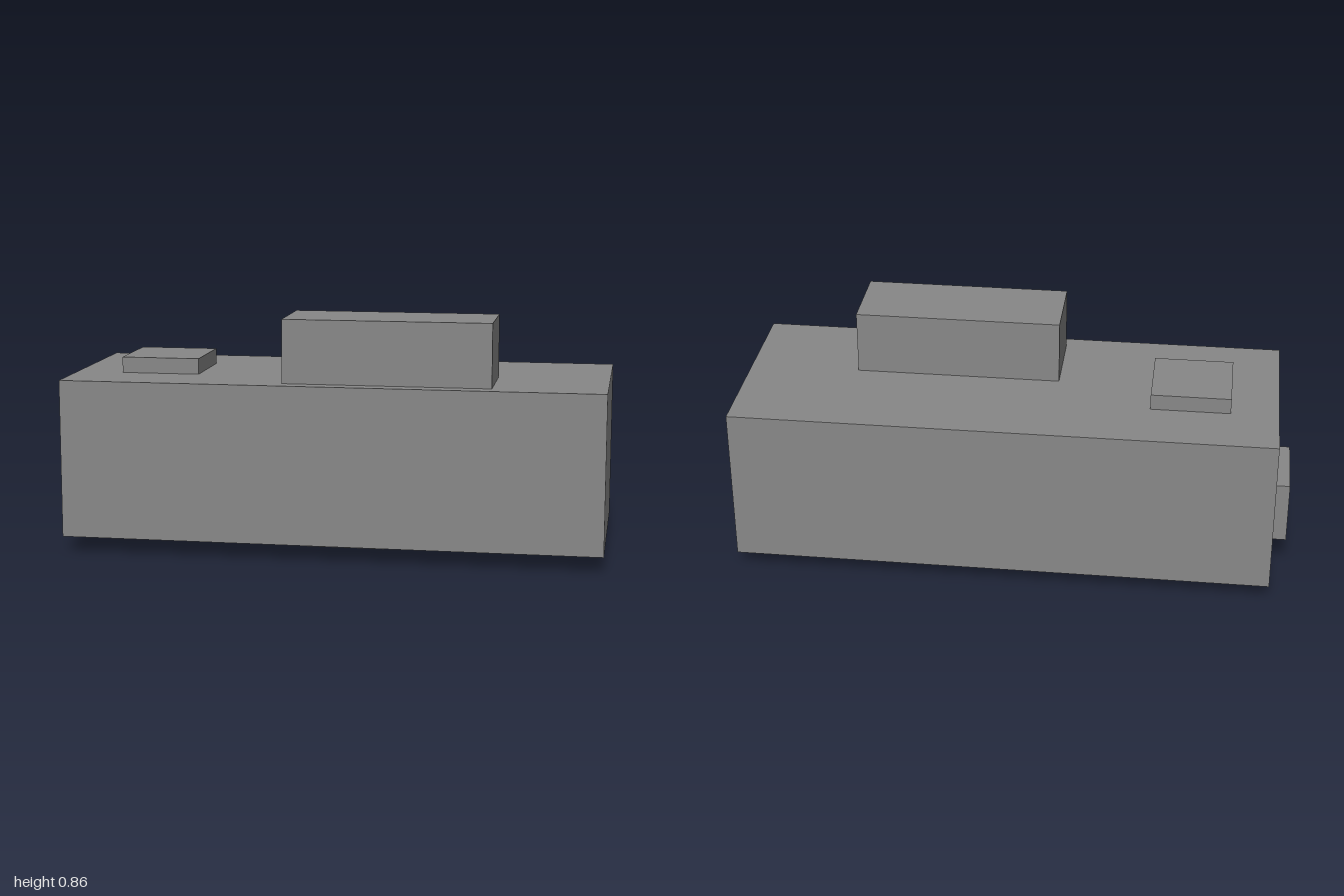
import * as THREE from 'three';

// One grid unit; the whole model is 35 units long
const U = 2 / 35;

export function createModel() {
  const model = new THREE.Group();
  model.name = 'boxHousing';
  const grey = new THREE.MeshStandardMaterial({ color: 0x888888 });
  grey.name = 'mid grey';

  // Box given by its lower and upper corners in grid units
  function block(name, [x0, y0, z0], [x1, y1, z1]) {
    const geometry = new THREE.BoxGeometry((x1 - x0) * U, (y1 - y0) * U, (z1 - z0) * U);
    const mesh = new THREE.Mesh(geometry, grey);
    mesh.name = name;
    mesh.position.set((x0 + x1) * U / 2, (y0 + y1) * U / 2, (z0 + z1) * U / 2);
    model.add(mesh);
  }

  block('mainBody', [-16.5, 1, -6.5], [17.5, 11, 6.5]);
  block('topBlock', [-2.5, 11, 0.5], [10.5, 15, 5.5]);
  block('topPad', [-13.5, 11, -2.5], [-8.5, 12, 2.5]);
  block('bottomPad', [-1.5, 0, -2.5], [3.5, 1, 2.5]);

  // Rectangular frame with an opening on the end face
  const outline = new THREE.Shape([[-2.5, -2], [2.5, -2], [2.5, 2], [-2.5, 2]]
    .map(([x, y]) => new THREE.Vector2(x * U, y * U)));
  outline.holes.push(new THREE.Path([[-1.5, -1], [-1.5, 1], [1.5, 1], [1.5, -1]]
    .map(([x, y]) => new THREE.Vector2(x * U, y * U))));
  const frame = new THREE.Mesh(
    new THREE.ExtrudeGeometry(outline, { depth: U, bevelEnabled: false }), grey);
  frame.name = 'endFrame';
  frame.rotation.y = -Math.PI / 2;
  frame.position.set(-16.5 * U, 4 * U, 0);
  model.add(frame);

  return model;
}
